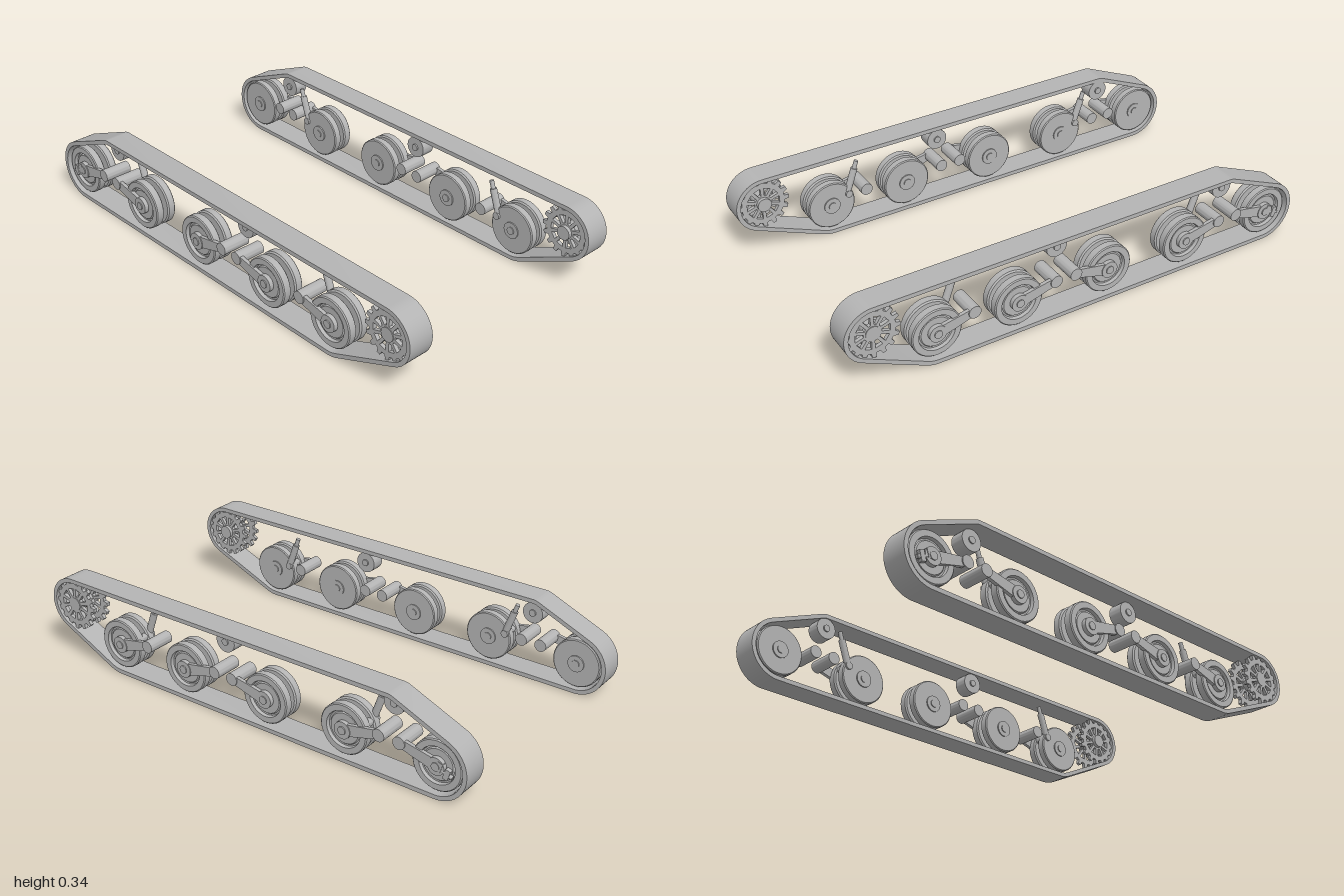
import * as THREE from 'three';
import { toCreasedNormals } from 'three/addons/utils/BufferGeometryUtils.js';

const steel = new THREE.MeshStandardMaterial({ color: 0xb4b4b4 });
steel.name = 'steel grey';

// Convex outline wrapped around circles given as [z, y, radius]
function wrap(circles, shrink = 0) {
  const pts = [];
  for (const [z, y, r] of circles)
    for (let i = 0; i < 64; i++) {
      const a = (i / 64) * Math.PI * 2;
      pts.push(new THREE.Vector2(z + (r - shrink) * Math.cos(a), y + (r - shrink) * Math.sin(a)));
    }
  pts.sort((a, b) => a.x - b.x || a.y - b.y);
  const half = (list) => {
    const h = [];
    for (const p of list) {
      while (h.length > 1) {
        const a = h[h.length - 2], b = h[h.length - 1];
        if ((b.x - a.x) * (p.y - a.y) - (b.y - a.y) * (p.x - a.x) > 1e-9) break;
        h.pop();
      }
      h.push(p);
    }
    h.pop();
    return h;
  };
  return [...half(pts), ...half(pts.slice().reverse())];
}

function createSide(s) {
  const side = new THREE.Group();
  side.name = s > 0 ? 'leftTrackUnit' : 'rightTrackUnit';
  const shift = s > 0 ? 0 : -0.035; // suspension on the right sits slightly further back

  const add = (name, geo, parent = side) => {
    const mesh = new THREE.Mesh(toCreasedNormals(geo, 0.6), steel);
    mesh.name = name;
    parent.add(mesh);
    return mesh;
  };
  // Shape drawn in (z, y), extruded between two distances from the centre line
  const plate = (name, shape, xa, xb, parent) => {
    const g = new THREE.ExtrudeGeometry(shape, { depth: Math.abs(xb - xa), bevelEnabled: false, curveSegments: 16 });
    g.rotateY(-Math.PI / 2);
    g.translate(Math.max(s * xa, s * xb), 0, 0);
    return add(name, g, parent);
  };
  // Turned part on a sideways axis; profile is [radius, x]
  const turned = (name, profile, z, y, parent) => {
    const g = new THREE.LatheGeometry(profile.map(([r, x]) => new THREE.Vector2(r, x)), 40);
    g.rotateZ(-s * Math.PI / 2);
    g.translate(0, y, z);
    return add(name, g, parent);
  };
  const cyl = (name, r, xa, xb, z, y, parent) =>
    turned(name, [[0, xa], [r, xa], [r, xb], [0, xb]], z, y, parent);
  // Round rod between two points
  const rod = (name, r, a, b, parent) => {
    const d = b.clone().sub(a);
    const g = new THREE.CylinderGeometry(r, r, d.length(), 16);
    g.applyQuaternion(new THREE.Quaternion().setFromUnitVectors(new THREE.Vector3(0, 1, 0), d.clone().normalize()));
    const m = a.clone().add(b).multiplyScalar(0.5);
    g.translate(m.x, m.y, m.z);
    return add(name, g, parent);
  };

  // Track band
  const path = [
    [0.88, 0.235, 0.113],
    [0.635 + shift, 0.131, 0.126],
    [-0.835 + shift, 0.131, 0.126],
    [-0.635 + shift, 0.29, 0.058],
  ];
  const band = new THREE.Shape(wrap(path));
  band.holes.push(new THREE.Path(wrap(path, 0.017)));
  plate('trackBand', band, 0.413, 0.52);

  // Drive sprocket: two toothed, pierced discs on a drum
  const sprocket = new THREE.Group();
  sprocket.name = 'driveSprocket';
  side.add(sprocket);
  const teeth = 16, outline = [];
  for (let i = 0; i < teeth; i++)
    for (const [f, r] of [[-0.3, 0.088], [-0.17, 0.106], [0.17, 0.106], [0.3, 0.088]]) {
      const a = ((i + f) / teeth) * Math.PI * 2;
      outline.push(new THREE.Vector2(0.88 + r * Math.cos(a), 0.235 + r * Math.sin(a)));
    }
  const disc = new THREE.Shape(outline);
  for (let i = 0; i < 10; i++) {
    const hole = [];
    for (const [f, r] of [[-0.22, 0.035], [-0.34, 0.068], [0.34, 0.068], [0.22, 0.035]]) {
      const a = ((i + f) / 10) * Math.PI * 2;
      hole.push(new THREE.Vector2(0.88 + r * Math.cos(a), 0.235 + r * Math.sin(a)));
    }
    disc.holes.push(new THREE.Path(hole));
  }
  plate('outerSprocketDisc', disc, 0.495, 0.51, sprocket);
  plate('innerSprocketDisc', disc, 0.423, 0.438, sprocket);
  cyl('sprocketHub', 0.028, 0.408, 0.513, 0.88, 0.235, sprocket);

  // Road wheels with trailing arms: [wheel z, pivot z, has damper]
  const wheels = [[0.635, 0.487, true], [0.3, 0.145, false], [-0.09, 0.06, false], [-0.445, -0.6, true], [-0.835, -0.685, false]];
  const wy = 0.132, py = 0.168;
  wheels.forEach(([wz, pz, damper], i) => {
    const z = wz + shift, p = pz + shift;
    const unit = new THREE.Group();
    unit.name = 'roadWheelUnit' + (i + 1);
    side.add(unit);
    turned('outerWheelDisc', [[0, 0.472], [0.094, 0.472], [0.1, 0.477], [0.1, 0.504], [0.096, 0.508],
      [0.073, 0.508], [0.07, 0.495], [0.064, 0.495], [0.06, 0.5], [0, 0.5]], z, wy, unit);
    turned('innerWheelDisc', [[0, 0.418], [0.096, 0.418], [0.1, 0.422], [0.1, 0.448], [0.094, 0.453], [0, 0.453]], z, wy, unit);
    cyl('wheelHub', 0.034, 0.413, 0.517, z, wy, unit);
    cyl('axle', 0.016, 0.409, 0.521, z, wy, unit);
    plate('suspensionArm', new THREE.Shape(wrap([[z, wy, 0.024], [p, py, 0.017]])), 0.499, 0.514, unit);
    cyl('armPivot', 0.025, 0.402, 0.518, p, py, unit);
    if (damper) {
      const at = (t) => new THREE.Vector3(s * 0.425, 0.175 + 0.125 * t, z - 0.075 - 0.045 * t);
      rod('damperBody', 0.014, at(0), at(0.75), unit);
      rod('damperRod', 0.009, at(0.7), at(1), unit);
      cyl('damperFoot', 0.015, 0.41, 0.505, z - 0.075, 0.165, unit);
    }
  });

  // Track tension adjuster on the rear wheel
  for (const [dz, dy, h] of [[-0.015, 0.004, 0.036], [-0.045, -0.016, 0.042]]) {
    const block = add('tensionBlock', new THREE.BoxGeometry(0.016, h, 0.02));
    block.position.set(s * 0.511, wy + dy, -0.835 + shift + dz);
    block.rotation.x = -0.3;
  }
  rod('tensionRod', 0.008, new THREE.Vector3(s * 0.51, wy, -0.835 + shift),
    new THREE.Vector3(s * 0.51, wy - 0.025, -0.9 + shift));

  // Return rollers
  for (const z of [0.12, -0.635 + shift]) {
    cyl('returnRoller', 0.043, 0.418, 0.475, z, 0.289);
    cyl('rollerAxle', 0.014, 0.412, 0.48, z, 0.289);
  }
  return side;
}

export function createModel() {
  const model = new THREE.Group();
  model.name = 'trackedRunningGear';
  model.add(createSide(1), createSide(-1));
  return model;
}
